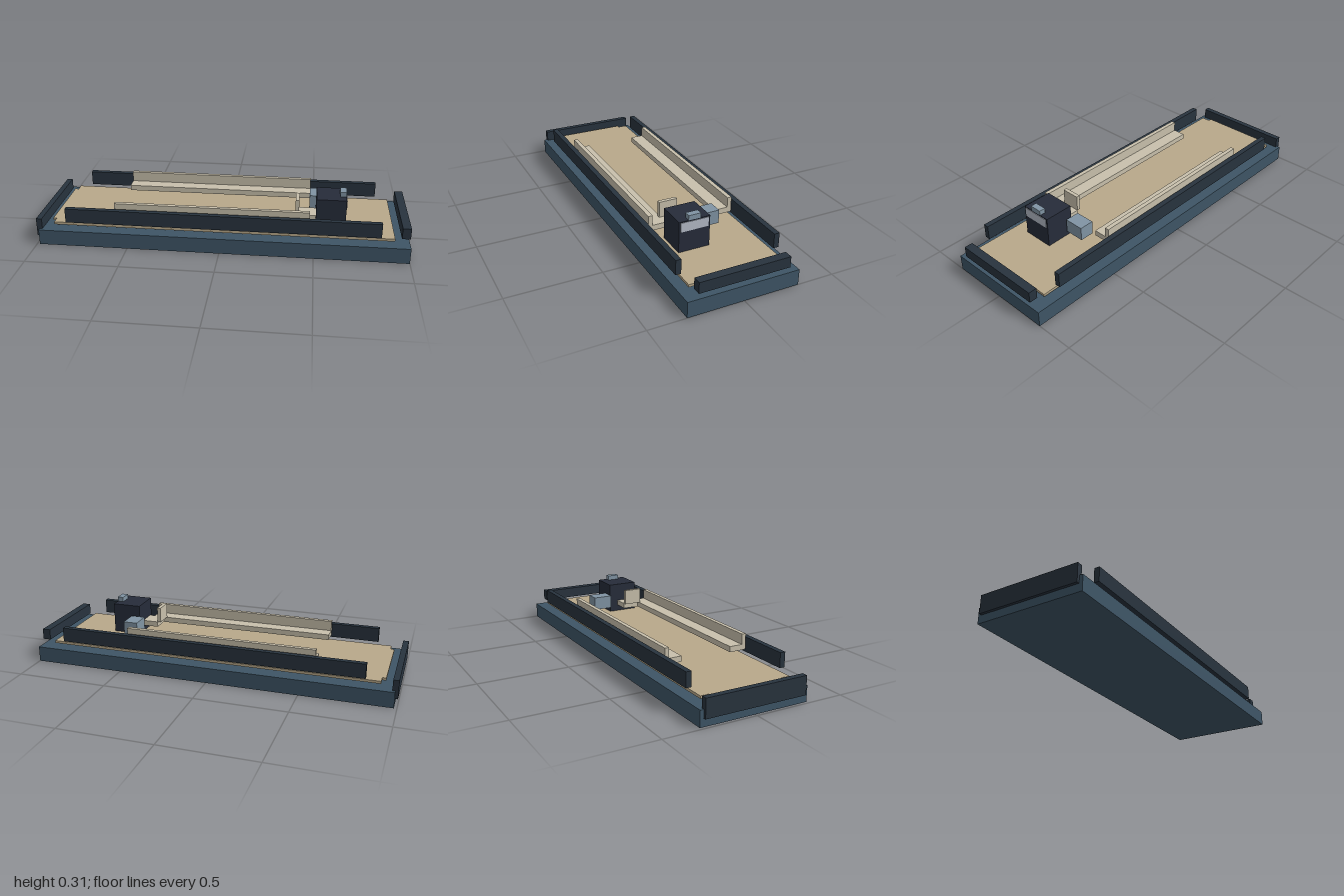
import * as THREE from 'three';

const paint = (color) => new THREE.MeshStandardMaterial({ color, flatShading: true });
const steel = paint(0x3e5566), dark = paint(0x28333e), cabinPaint = paint(0x262c3a);
const deckTan = paint(0xb8a88a), seatTan = paint(0xc8c0ac);
const blueGrey = paint(0x8094a4), glass = paint(0xb4bbc7);

// Box given by its [min, max] span on each axis
function block(name, material, [x0, x1], [y0, y1], [z0, z1]) {
  const mesh = new THREE.Mesh(new THREE.BoxGeometry(x1 - x0, y1 - y0, z1 - z0), material);
  mesh.position.set((x0 + x1) / 2, (y0 + y1) / 2, (z0 + z1) / 2);
  mesh.name = name;
  return mesh;
}

// Span mirrored to the side given by sign s
const side = (s, a, b) => (s > 0 ? [a, b] : [-b, -a]);

export function createModel() {
  const model = new THREE.Group();
  model.name = 'flatBoat';

  // Hull and floating deck with a narrower forward lip
  model.add(block('hull', steel, [-0.985, 1], [0, 0.085], [-0.3, 0.3]));
  model.add(block('deck', deckTan, [-0.91, 0.92], [0.101, 0.115], [-0.252, 0.252]));
  model.add(block('deckLip', deckTan, [-0.93, -0.91], [0.101, 0.115], [-0.203, 0.203]));

  // End walls
  model.add(block('bowRamp', dark, [-1, -0.969], [0.043, 0.143], [-0.281, 0.281]));
  model.add(block('sternWall', dark, [0.955, 1], [0.114, 0.173], [-0.244, 0.244]));

  // Side walls and long benches, mirrored
  for (const s of [1, -1]) {
    const label = s > 0 ? 'front' : 'back';
    model.add(block(label + 'SideWall', dark, [-0.835, 0.847], [0.13, 0.209], side(s, 0.252, 0.281)));
    model.add(block(label + 'BenchSeat', seatTan, [-0.573, 0.473], [0.15, 0.18], side(s, 0.143, 0.215)));
    model.add(block(label + 'BenchBack', seatTan, [-0.573, 0.473], [0.15, 0.235], side(s, 0.215, 0.238)));
  }

  // Control cabin with window and roof box
  const cabin = new THREE.Group();
  cabin.name = 'cabin';
  cabin.add(block('cabinBody', cabinPaint, [0.505, 0.664], [0.115, 0.282], [0, 0.169]));
  cabin.add(block('cabinWindow', glass, [0.66, 0.667], [0.227, 0.277], [0.009, 0.161]));
  cabin.add(block('roofBox', blueGrey, [0.63, 0.664], [0.282, 0.308], [0.052, 0.118]));
  model.add(cabin);

  // Operator seat
  const seat = new THREE.Group();
  seat.name = 'operatorSeat';
  seat.add(block('seatBase', seatTan, [0.415, 0.505], [0.15, 0.18], [0.05, 0.15]));
  seat.add(block('seatBack', seatTan, [0.395, 0.415], [0.18, 0.265], [0.05, 0.15]));
  model.add(seat);

  // Storage box beside the cabin
  model.add(block('storageBox', blueGrey, [0.47, 0.549], [0.15, 0.224], [-0.12, -0.012]));

  return model;
}
